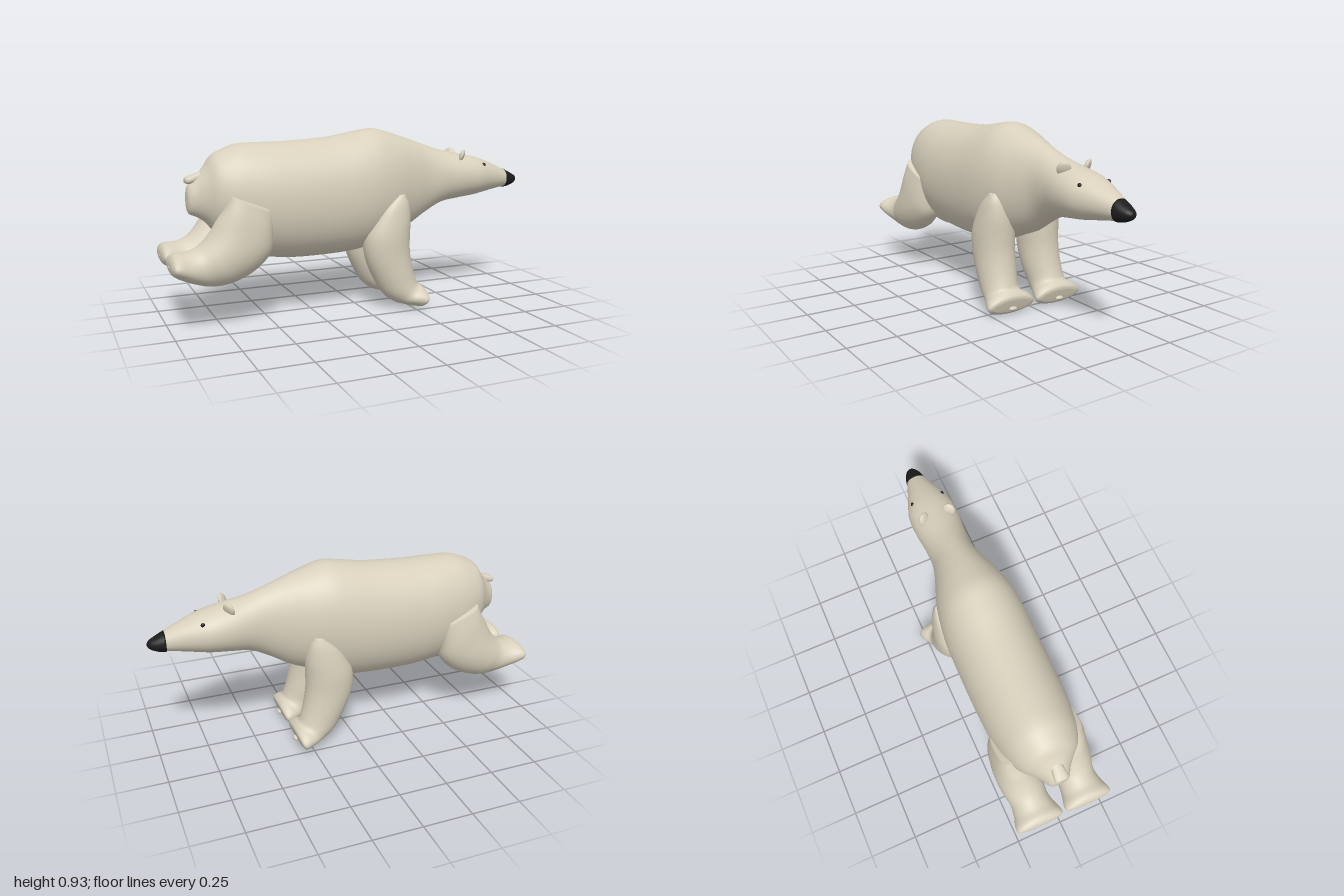
import * as THREE from 'three';

const fur = new THREE.MeshStandardMaterial({ color: 0xd8d0bc });
fur.name = 'cream fur';
const black = new THREE.MeshStandardMaterial({ color: 0x1c1c1c });
black.name = 'black';

// Smooth (Catmull-Rom) subdivision of a list of cross-sections
function refine(rings, steps) {
  const out = [];
  const at = (i) => rings[Math.min(Math.max(i, 0), rings.length - 1)];
  for (let i = 0; i < rings.length - 1; i++) {
    for (let s = 0; s < steps; s++) {
      const t = s / steps;
      out.push(at(i).map((b, k) => {
        const a = at(i - 1)[k], c = at(i + 1)[k], d = at(i + 2)[k];
        return b + 0.5 * t * (c - a + t * (2 * a - 5 * b + 4 * c - d + t * (3 * (b - c) + d - a)));
      }));
    }
  }
  out.push(rings[rings.length - 1]);
  return out;
}

// Skin over rings [ax, ay, bx, by, zCentre, zHalf, power]: A and B are opposite rim points
function loft(name, sections, material, steps = 4, n = 32) {
  const rings = refine(sections, steps), pos = [], index = [];
  const mid = (r) => [(r[0] + r[2]) / 2, (r[1] + r[3]) / 2, r[4]];
  const first = rings[0], m = Math.floor(rings.length / 2);
  const p0 = mid(rings[m - 1]), p1 = mid(rings[m + 1]), q = rings[m];
  const flip = (q[1] - q[3]) * (p1[0] - p0[0]) - (q[0] - q[2]) * (p1[1] - p0[1]) < 0 ? -1 : 1;
  const bend = (v, p) => Math.sign(v) * Math.pow(Math.abs(v), p);
  for (const r of rings) {
    const c = mid(r);
    for (let j = 0; j < n; j++) {
      const a = (j / n) * Math.PI * 2;
      const u = bend(Math.cos(a), r[6]) / 2, w = bend(Math.sin(a), r[6]) * flip;
      pos.push(c[0] + (r[0] - r[2]) * u, c[1] + (r[1] - r[3]) * u, c[2] + r[5] * w);
    }
  }
  const last = rings.length - 1, start = rings.length * n;
  pos.push(...mid(first), ...mid(rings[last]));
  for (let j = 0; j < n; j++) {
    const k = (j + 1) % n;
    for (let i = 0; i < last; i++) {
      const a = i * n + j, b = i * n + k;
      index.push(a, b, b + n, a, b + n, a + n);
    }
    index.push(start, k, j, start + 1, last * n + j, last * n + k);
  }
  const g = new THREE.BufferGeometry();
  g.setAttribute('position', new THREE.Float32BufferAttribute(pos, 3));
  g.setIndex(index);
  g.computeVertexNormals();
  const mesh = new THREE.Mesh(g, material);
  mesh.name = name;
  return mesh;
}

function ellipsoid(name, material, position, size, rotation = [0, 0, 0]) {
  const mesh = new THREE.Mesh(new THREE.SphereGeometry(1, 20, 14), material);
  mesh.name = name;
  mesh.position.set(...position);
  mesh.scale.set(...size);
  mesh.rotation.set(...rotation);
  return mesh;
}

// Upright rings for the trunk: [x, top, bottom, half width]
const upright = (list) => list.map(([x, top, bottom, w]) => [x, top, x, bottom, 0, w, 0.96]);

const bodyRings = upright([
  [-0.88, 0.645, 0.59, 0.02], [-0.87, 0.69, 0.55, 0.05], [-0.83, 0.73, 0.53, 0.075],
  [-0.79, 0.775, 0.5, 0.11], [-0.75, 0.83, 0.45, 0.15], [-0.69, 0.86, 0.39, 0.18],
  [-0.62, 0.882, 0.34, 0.198], [-0.5, 0.885, 0.31, 0.215], [-0.35, 0.887, 0.292, 0.22],
  [-0.15, 0.9, 0.292, 0.22], [0, 0.925, 0.303, 0.217], [0.1, 0.937, 0.33, 0.205],
  [0.2, 0.912, 0.37, 0.182], [0.3, 0.88, 0.41, 0.145], [0.4, 0.845, 0.47, 0.115],
  [0.5, 0.812, 0.522, 0.115], [0.6, 0.79, 0.54, 0.125], [0.7, 0.77, 0.552, 0.124],
  [0.78, 0.745, 0.566, 0.1], [0.86, 0.712, 0.58, 0.07], [0.925, 0.682, 0.59, 0.048],
]);

const noseRings = upright([
  [0.915, 0.688, 0.583, 0.053], [0.95, 0.67, 0.59, 0.045],
  [0.985, 0.652, 0.605, 0.028], [1, 0.637, 0.62, 0.01],
]);

const frontLegRings = [
  [0.17, 0.605, 0.21, 0.605, 0.16, 0.035, 0.8], [0.09, 0.54, 0.235, 0.56, 0.155, 0.06, 0.85],
  [0.03, 0.45, 0.25, 0.48, 0.145, 0.085, 0.9], [0, 0.37, 0.25, 0.4, 0.138, 0.1, 0.95],
  [0.01, 0.27, 0.25, 0.31, 0.138, 0.1, 0.95], [0.05, 0.17, 0.265, 0.22, 0.14, 0.1, 1],
  [0.1, 0.085, 0.285, 0.15, 0.145, 0.095, 1], [0.16, 0.035, 0.295, 0.13, 0.145, 0.1, 1],
  [0.22, 0.015, 0.308, 0.12, 0.145, 0.123, 1], [0.28, 0.003, 0.325, 0.1, 0.145, 0.135, 1],
  [0.305, 0.02, 0.325, 0.08, 0.145, 0.11, 1],
];

const hindLegRings = [
  [-0.7, 0.65, -0.5, 0.57, 0.165, 0.055, 0.7], [-0.73, 0.59, -0.5, 0.46, 0.16, 0.08, 0.8],
  [-0.77, 0.53, -0.51, 0.36, 0.15, 0.1, 0.9], [-0.8, 0.48, -0.59, 0.275, 0.143, 0.112, 1],
  [-0.84, 0.43, -0.7, 0.225, 0.138, 0.11, 1], [-0.875, 0.405, -0.8, 0.215, 0.135, 0.1, 1],
  [-0.92, 0.39, -0.88, 0.235, 0.135, 0.108, 1], [-0.96, 0.388, -0.95, 0.265, 0.135, 0.125, 1],
  [-0.985, 0.375, -0.988, 0.29, 0.135, 0.12, 1], [-0.997, 0.35, -0.997, 0.315, 0.135, 0.07, 1],
];

const tailRings = [
  [-0.77, 0.765, -0.77, 0.715, 0, 0.025, 0.8], [-0.83, 0.745, -0.83, 0.7, 0, 0.032, 0.8],
  [-0.87, 0.732, -0.868, 0.695, 0, 0.036, 0.8], [-0.884, 0.722, -0.884, 0.7, 0, 0.026, 0.8],
];

export function createModel() {
  const bear = new THREE.Group();
  bear.name = 'bear';
  bear.add(
    loft('body', bodyRings, fur, 4, 40),
    loft('nose', noseRings, black, 3),
    loft('tail', tailRings, fur, 3, 20),
  );
  for (const s of [1, -1]) {
    const side = s > 0 ? 'Right' : 'Left';
    const toSide = (rings) => rings.map((r) => r.map((v, k) => (k === 4 ? v * s : v)));
    bear.add(
      loft('frontLeg' + side, toSide(frontLegRings), fur),
      loft('hindLeg' + side, toSide(hindLegRings), fur),
      // small stubs on the soles
      ellipsoid('frontSoleStub' + side, fur, [0.318, 0.037, 0.145 * s], [0.012, 0.011, 0.023]),
      ellipsoid('hindSoleStub' + side, fur, [-0.992, 0.325, 0.135 * s], [0.008, 0.011, 0.023]),
      ellipsoid('ear' + side, fur, [0.607, 0.776, 0.068 * s], [0.014, 0.038, 0.034], [0, -0.6 * s, -0.35]),
      ellipsoid('eye' + side, black, [0.74, 0.724, 0.084 * s], [0.011, 0.012, 0.009]),
    );
  }
  return bear;
}
